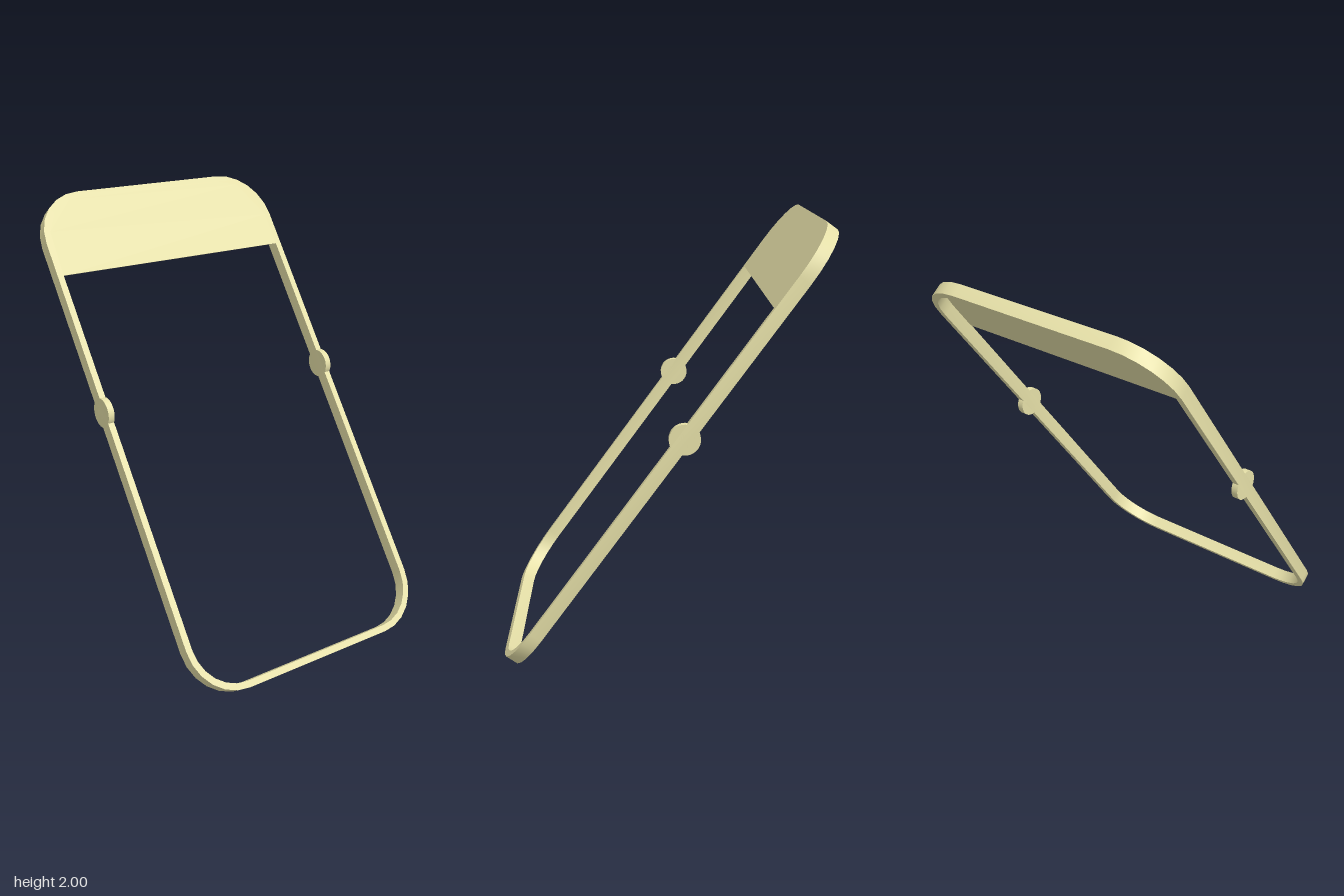
import * as THREE from 'three';
import { toCreasedNormals } from 'three/addons/utils/BufferGeometryUtils.js';

const HALF_W = 0.638, HALF_L = 1.2115, DEPTH = 0.06, RIM = 0.03, CORNER = 0.24;
const TILT = THREE.MathUtils.degToRad(35.8);

// Rounded rectangle inset from the outer edge
function outline(target, inset) {
  const x = HALF_W - inset, y = HALF_L - inset, r = CORNER - inset;
  target.moveTo(x, -y + r);
  target.absarc(x - r, y - r, r, 0, Math.PI / 2);
  target.absarc(-x + r, y - r, r, Math.PI / 2, Math.PI);
  target.absarc(-x + r, -y + r, r, Math.PI, Math.PI * 1.5);
  target.absarc(x - r, -y + r, r, Math.PI * 1.5, Math.PI * 2);
  target.closePath();
  return target;
}

function extrude(shape, depth) {
  return toCreasedNormals(
    new THREE.ExtrudeGeometry(shape, { depth, bevelEnabled: false, curveSegments: 3 }), 0.6);
}

export function createModel() {
  const model = new THREE.Group();
  model.name = 'tiltedFrame';
  const material = new THREE.MeshStandardMaterial({ color: 0xe6e0a8 });
  const tilted = new THREE.Group();
  tilted.name = 'frameAssembly';

  function add(name, geometry, x, y, z) {
    const mesh = new THREE.Mesh(geometry, material);
    mesh.name = name;
    mesh.position.set(x, y, z);
    tilted.add(mesh);
    return mesh;
  }

  // Thin rounded rim
  const rim = outline(new THREE.Shape(), 0);
  rim.holes.push(outline(new THREE.Path(), RIM));
  add('rim', extrude(rim, DEPTH), 0, 0, -DEPTH / 2);

  // Thin top panel, flush with the front of the rim
  const x = HALF_W - RIM, y = HALF_L - RIM, r = CORNER - RIM, panelBottom = 0.805;
  const panel = new THREE.Shape();
  panel.moveTo(-x, panelBottom);
  panel.lineTo(x, panelBottom);
  panel.absarc(x - r, y - r, r, 0, Math.PI / 2);
  panel.absarc(-x + r, y - r, r, Math.PI / 2, Math.PI);
  panel.closePath();
  const panelDepth = 0.003;
  add('topPanel', extrude(panel, panelDepth), 0, 0, DEPTH / 2 - panelDepth);

  // Round pivots on the side rails
  const pivot = new THREE.CylinderGeometry(0.068, 0.068, RIM, 32).rotateZ(Math.PI / 2);
  for (const side of [1, -1]) {
    add(side > 0 ? 'leftPivot' : 'rightPivot', pivot, side * (HALF_W - RIM / 2), 0.145, 0);
  }

  // Lean back, with the lower edge on the ground
  tilted.rotation.x = -TILT;
  tilted.position.y = HALF_L * Math.cos(TILT) + DEPTH / 2 * Math.sin(TILT);
  model.add(tilted);
  return model;
}
